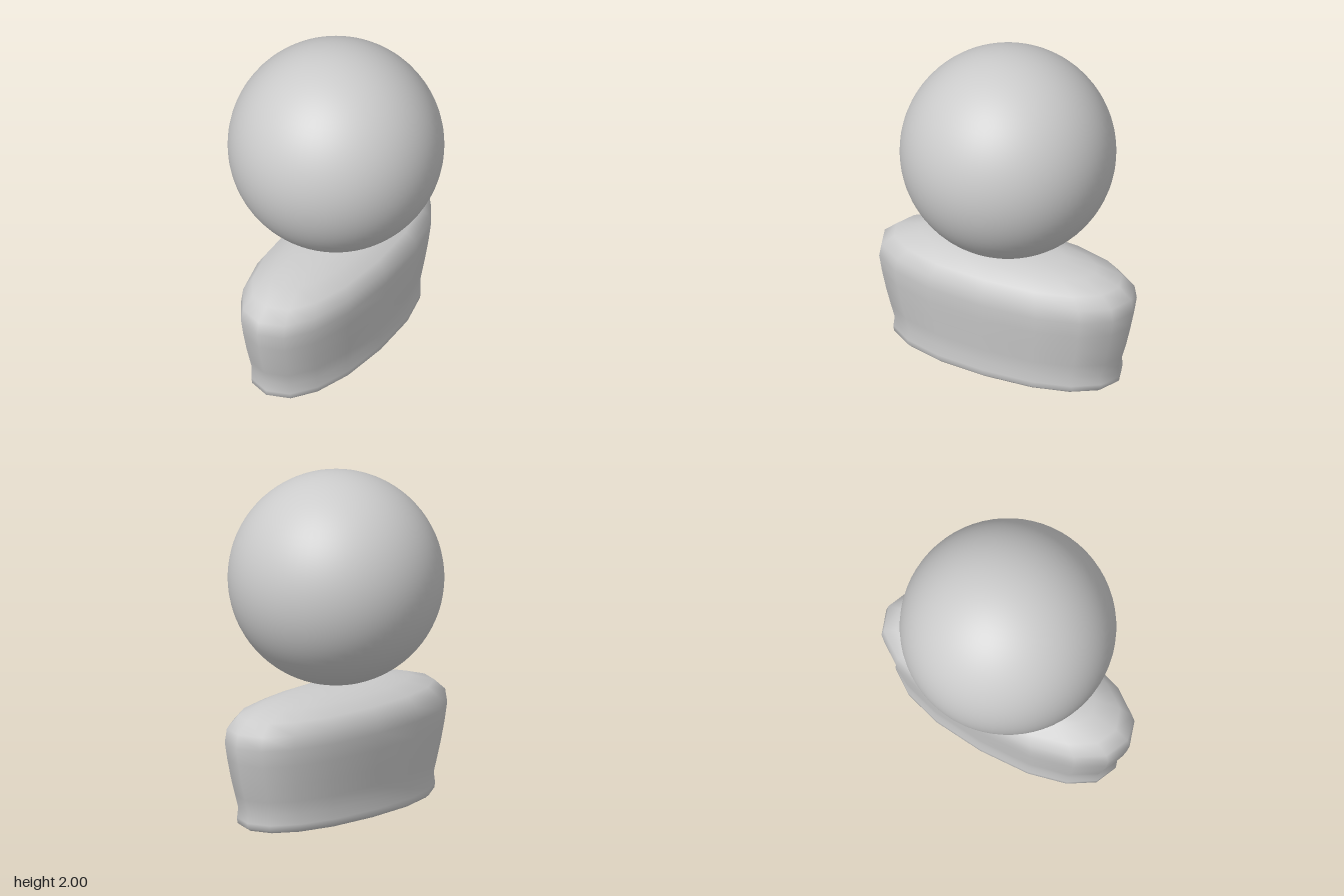
import * as THREE from 'three';
import { mergeVertices } from 'three/addons/utils/BufferGeometryUtils.js';

// Rings of the base from bottom to top: height, half width in x, half length in z
const RINGS = [
  [0, 0, 0], [0.005, 0.27, 0.66], [0.012, 0.293, 0.695], [0.028, 0.308, 0.717],
  [0.06, 0.31, 0.72], [0.12, 0.302, 0.713], [0.2, 0.31, 0.738], [0.3, 0.323, 0.766],
  [0.42, 0.337, 0.793], [0.52, 0.346, 0.81], [0.6, 0.337, 0.796], [0.665, 0.295, 0.72],
  [0.713, 0.2, 0.567], [0.739, 0.127, 0.365], [0.75, 0, 0],
];

// Sixteen-sided lathe whose rings are stretched into slightly squared ovals
function ovalBody(rings, sides) {
  const lathe = new THREE.LatheGeometry(rings.map(([y]) => new THREE.Vector2(1, y)), sides);
  const pos = lathe.attributes.position;
  const squared = (v) => (Math.abs(v) < 1e-6 ? 0 : Math.sign(v) * Math.abs(v) ** 0.89);
  for (let i = 0; i < pos.count; i++) {
    const [y, rx, rz] = rings[i % rings.length];
    pos.setXYZ(i, squared(pos.getX(i)) * rx, y, squared(pos.getZ(i)) * rz);
  }
  // Weld the seam and poles so the shading is smooth all round
  lathe.deleteAttribute('uv');
  lathe.deleteAttribute('normal');
  const geometry = mergeVertices(lathe, 1e-5);
  geometry.computeVertexNormals();
  return geometry;
}

export function createModel() {
  const group = new THREE.Group();
  const material = new THREE.MeshStandardMaterial({ color: 0xcccccc });

  const base = new THREE.Mesh(ovalBody(RINGS, 16), material);
  base.name = 'base';

  // Ball resting on the crown of the base
  const ball = new THREE.Mesh(new THREE.SphereGeometry(0.62, 64, 40), material);
  ball.name = 'ball';
  ball.position.y = 1.38;

  group.add(base, ball);
  return group;
}
